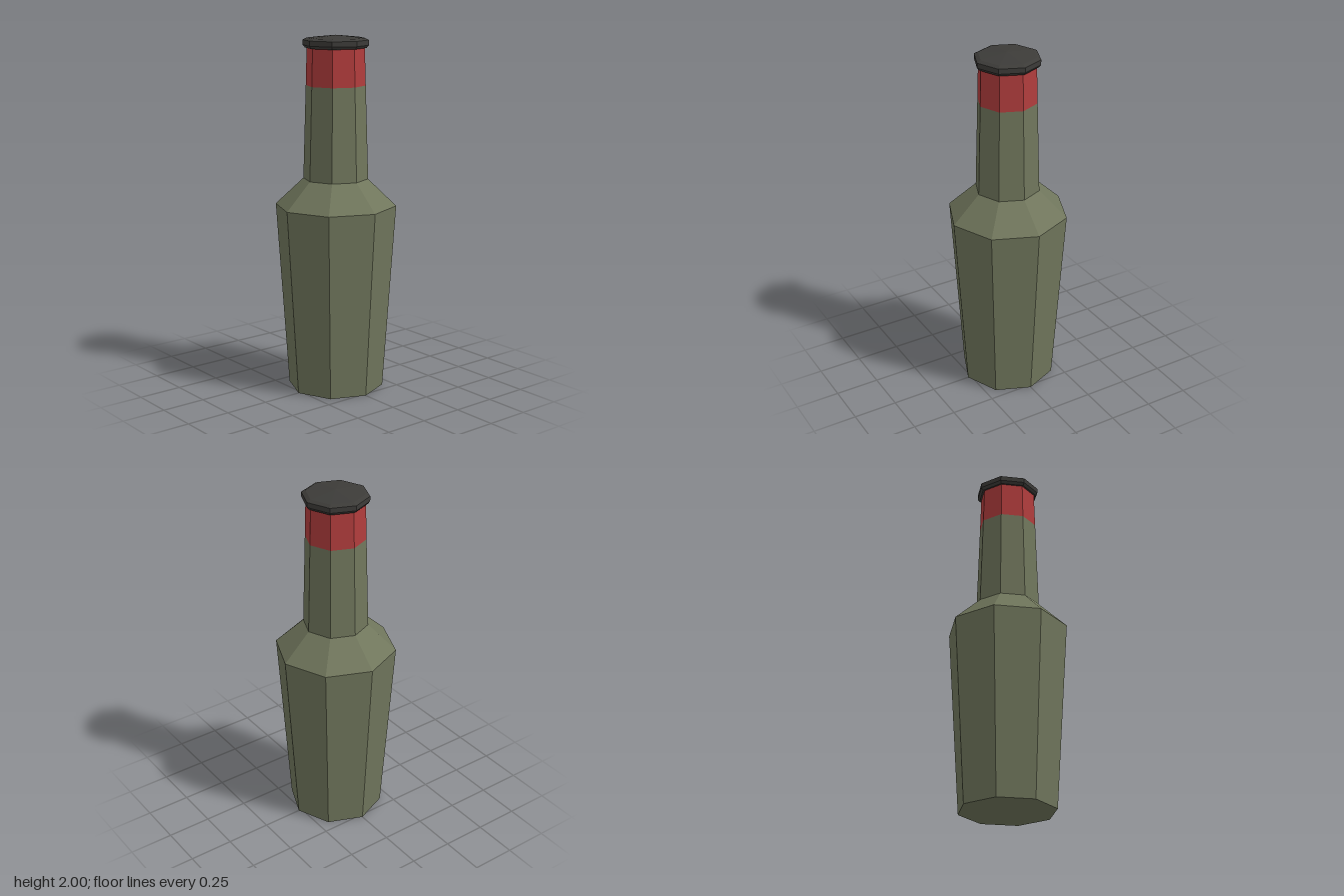
import * as THREE from 'three';

const material = (name, color) => {
  const m = new THREE.MeshStandardMaterial({ color });
  m.name = name;
  return m;
};

// Eight-sided faceted solid from a [radius, height] profile, bottom to top
function turned(name, profile, mat) {
  const points = profile.map(([r, y]) => new THREE.Vector2(r, y));
  const geometry = new THREE.LatheGeometry(points, 8).toNonIndexed();
  geometry.computeVertexNormals();
  const mesh = new THREE.Mesh(geometry, mat);
  mesh.name = name;
  return mesh;
}

export function createModel() {
  const glass = material('green glass', 0x70765c);
  const red = material('red band', 0xb03c3c);
  const dark = material('dark cap', 0x3c3b38);

  const bottle = new THREE.Group();
  bottle.name = 'bottle';
  bottle.add(
    // Closed base, flared body and sloping shoulder
    turned('body', [[0, 0], [0.27, 0], [0.34, 1.055], [0.182, 1.205]], glass),
    // Tapered neck with a coloured band at its top
    turned('neck', [[0.182, 1.205], [0.166, 1.725]], glass),
    turned('neckBand', [[0.166, 1.725], [0.16, 1.935]], red),
    // Bevelled cap with a shallow domed top
    turned('cap', [[0, 1.93], [0.17, 1.93], [0.182, 1.945], [0.182, 1.973], [0.16, 1.984], [0, 2]], dark),
  );
  return bottle;
}
